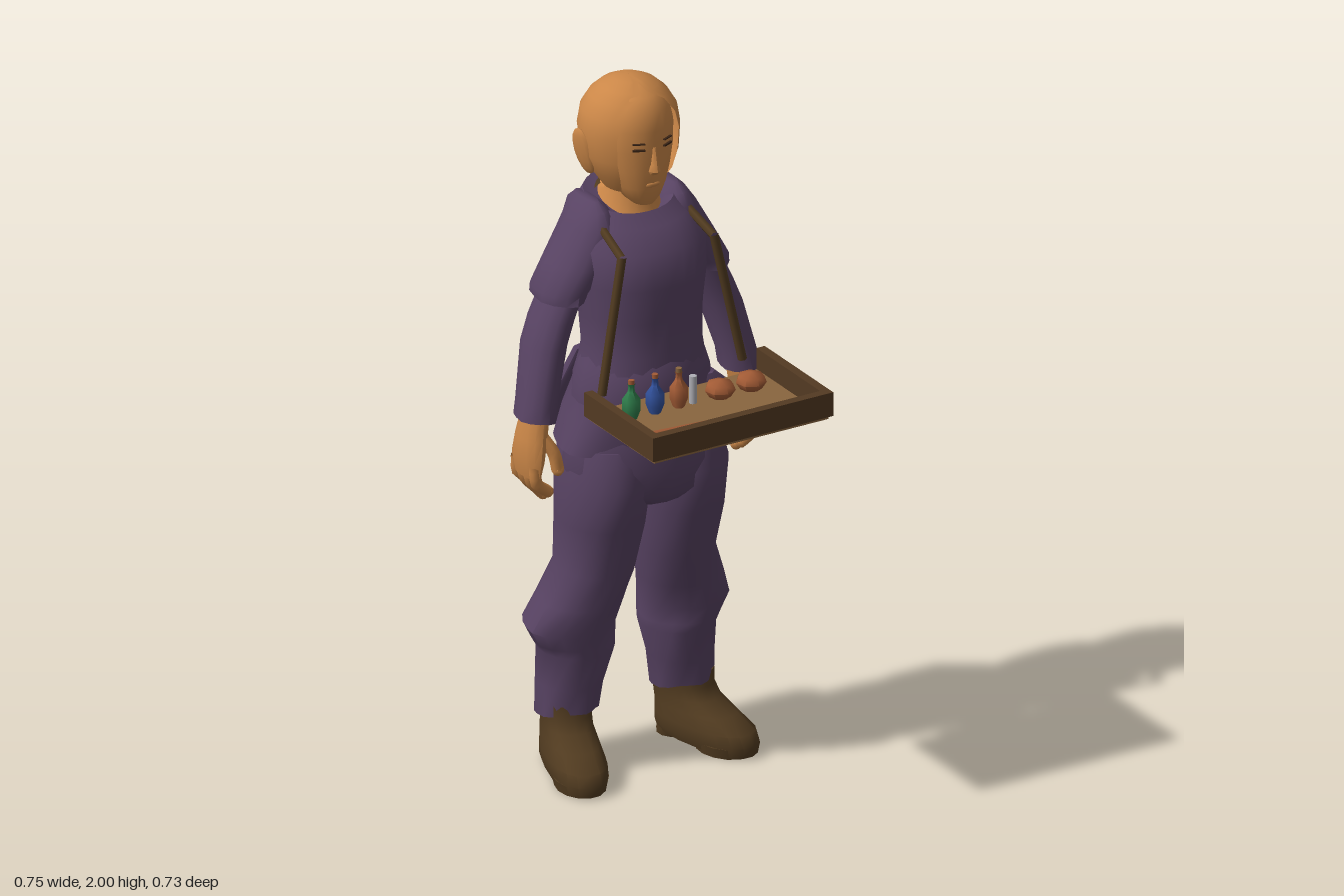
import * as THREE from 'three';
import { toCreasedNormals } from 'three/addons/utils/BufferGeometryUtils.js';

const mat = (name, color, side = THREE.FrontSide) => {
  const m = new THREE.MeshStandardMaterial({ color, side });
  m.name = name;
  return m;
};

// Skin through horizontal oval sections: [y, x, z, radiusX, radiusZ, frontTilt, ripple, frontGap]
function loft(sections, { n = 20, power = 1, capped = true } = {}) {
  const pos = [], index = [], w = n + 1;
  const bend = v => Math.sign(v) * Math.abs(v) ** power;
  for (const [y, x, z, rx, rz, tilt = 0, ripple = 0, gap = 0] of sections) {
    for (let i = 0; i <= n; i++) {
      const a = gap + (2 * Math.PI - 2 * gap) * i / n;
      const k = 1 + ripple * Math.cos(5 * a);
      pos.push(x + rx * k * bend(Math.sin(a)), y + tilt * Math.cos(a), z + rz * k * bend(Math.cos(a)));
    }
  }
  for (let r = 0; r < sections.length - 1; r++)
    for (let i = 0; i < n; i++) {
      const a = r * w + i;
      index.push(a, a + 1, a + w + 1, a, a + w + 1, a + w);
    }
  if (capped) [0, sections.length - 1].forEach((r, end) => {
    const [y, x, z] = sections[r], c = pos.length / 3;
    pos.push(x, y, z);
    for (let i = 0; i < n; i++) {
      const a = r * w + i;
      index.push(...(end ? [c, a, a + 1] : [c, a + 1, a]));
    }
  });
  const g = new THREE.BufferGeometry();
  g.setAttribute('position', new THREE.Float32BufferAttribute(pos, 3));
  g.setIndex(index);
  return toCreasedNormals(g, 0.8);
}

const tube = (points, r, sides = 7, steps = 8) => new THREE.TubeGeometry(
  new THREE.CatmullRomCurve3(points.map(p => new THREE.Vector3(...p))), steps, r, sides);

const lathe = (profile, sides) => toCreasedNormals(
  new THREE.LatheGeometry(profile.map(p => new THREE.Vector2(...p)), sides), 1.2);

export function createModel() {
  const model = new THREE.Group();
  const skin = mat('skin', 0xcb8748, THREE.DoubleSide);
  const cloth = mat('purple cloth', 0x584363);
  const leather = mat('dark leather', 0x513b20);
  const wood = mat('tray wood', 0x533a22), board = mat('tray board', 0x89653e);
  const green = mat('green glass', 0x2f7d4b), blue = mat('blue glass', 0x31509a);
  const clay = mat('terracotta', 0xa45c36), silver = mat('silver', 0xb0b0b6);
  const dark = mat('eye brown', 0x3a2415);
  const add = (name, geometry, material, x = 0, y = 0, z = 0, parent = model) => {
    const m = new THREE.Mesh(geometry, material);
    m.name = name;
    m.position.set(x, y, z);
    parent.add(m);
    return m;
  };

  // Tunic and hips
  add('tunic', loft([
    [0.96, 0, -0.178, 0.235, 0.175, 0.01, 0.04], [1.05, 0, -0.165, 0.212, 0.172, 0, 0.03],
    [1.15, 0, -0.15, 0.18, 0.16], [1.25, 0, -0.148, 0.165, 0.143], [1.35, 0, -0.155, 0.17, 0.147],
    [1.45, 0, -0.165, 0.185, 0.165], [1.55, 0, -0.183, 0.192, 0.168], [1.62, 0, -0.205, 0.16, 0.13, -0.02],
    [1.66, 0, -0.215, 0.125, 0.105, -0.025], [1.645, 0, -0.215, 0.08, 0.085, -0.03]],
    { n: 28, power: 0.9 }), cloth);
  add('trouser hips', loft([[0.81, 0, -0.15, 0.13, 0.13], [0.84, 0, -0.148, 0.215, 0.15],
    [0.92, 0, -0.15, 0.242, 0.165], [1.02, 0, -0.16, 0.22, 0.155]]), cloth);
  add('sash', loft([[1.1, 0, -0.15, 0.198, 0.168], [1.15, 0, -0.148, 0.194, 0.168],
    [1.2, 0, -0.148, 0.178, 0.158], [1.23, 0, -0.148, 0.168, 0.146]]), cloth);
  add('sash pouch', loft([[1, 0.165, -0.07, 0.075, 0.05, 0.02], [1.03, 0.165, -0.065, 0.08, 0.06],
    [1.1, 0.155, -0.065, 0.07, 0.055], [1.15, 0.13, -0.07, 0.04, 0.04]], { n: 12, power: 0.7 }), cloth);

  for (const s of [1, -1]) {
    const side = s > 0 ? 'left' : 'right';
    // Back tail of the tunic, split at the centre
    add(side + 'TunicTail', loft([[0.965, s * 0.115, -0.335, 0.098, 0.02], [1.08, s * 0.1, -0.305, 0.08, 0.02],
      [1.2, s * 0.075, -0.272, 0.06, 0.018]], { n: 16, power: 0.6 }), cloth);

    // Sleeves: wide short over-sleeve and long under-sleeve
    add(side + 'ShortSleeve', loft([[1.405, s * 0.226, -0.21, 0.066, 0.1, 0, 0.04],
      [1.43, s * 0.22, -0.21, 0.072, 0.1], [1.5, s * 0.17, -0.21, 0.083, 0.104],
      [1.6, s * 0.125, -0.21, 0.07, 0.1], [1.645, s * 0.125, -0.22, 0.04, 0.085],
      [1.667, s * 0.125, -0.225, 0.016, 0.055]], { n: 14 }), cloth);
    add(side + 'LongSleeve', loft([[1.085, s * 0.322, -0.17, 0.054, 0.07, 0, 0.04],
      [1.13, s * 0.315, -0.175, 0.052, 0.07], [1.28, s * 0.277, -0.2, 0.056, 0.08],
      [1.35, s * 0.25, -0.205, 0.056, 0.08], [1.46, s * 0.2, -0.205, 0.055, 0.075]], { n: 14 }), cloth);

    // Hand with four fingers and a thumb
    const hand = new THREE.Group();
    hand.name = side + 'Hand';
    model.add(hand);
    add('palm', loft([[0.92, s * 0.347, -0.17, 0.02, 0.06], [0.97, s * 0.346, -0.168, 0.031, 0.068],
      [1.03, s * 0.336, -0.168, 0.037, 0.06], [1.1, s * 0.322, -0.17, 0.037, 0.046]], { n: 12 }), skin, 0, 0, 0, hand);
    for (let f = 0; f < 4; f++) {
      const z = -0.124 - f * 0.031, tip = [0.87, 0.855, 0.86, 0.885][f];
      add('finger', tube([[s * 0.352, 0.96, z], [s * 0.345, 0.905, z - 0.002],
        [s * 0.305, tip, z * 0.8 - 0.035]], 0.017, 7, 6), skin, 0, 0, 0, hand);
      add('fingertip', new THREE.SphereGeometry(0.017, 7, 5), skin, s * 0.305, tip, z * 0.8 - 0.035, hand);
    }
    add('thumb', tube([[s * 0.325, 1.04, -0.135], [s * 0.298, 0.99, -0.115], [s * 0.288, 0.94, -0.11]],
      0.018), skin, 0, 0, 0, hand);
    add('thumbtip', new THREE.SphereGeometry(0.018, 7, 5), skin, s * 0.288, 0.94, -0.11, hand);

    // Baggy trouser leg gathered below the knee
    add(side + 'TrouserLeg', loft([[0.155, s * 0.182, -0.237, 0.08, 0.095, 0.025, 0.07],
      [0.25, s * 0.175, -0.235, 0.09, 0.1], [0.35, s * 0.16, -0.228, 0.105, 0.112],
      [0.375, s * 0.168, -0.233, 0.113, 0.12, 0, 0.03], [0.42, s * 0.18, -0.233, 0.125, 0.125, 0, 0.04],
      [0.5, s * 0.157, -0.21, 0.117, 0.125, 0, 0.02], [0.6, s * 0.127, -0.187, 0.106, 0.126],
      [0.75, s * 0.125, -0.16, 0.117, 0.145], [0.88, s * 0.122, -0.15, 0.122, 0.158],
      [0.98, s * 0.11, -0.165, 0.115, 0.14]], { n: 18 }), cloth);

    // Boot turned slightly outward, with a heel block
    const boot = new THREE.Group();
    boot.name = side + 'Boot';
    boot.position.set(s * 0.187, 0, -0.235);
    boot.rotation.y = s * 0.28;
    model.add(boot);
    add('bootUpper', loft([[0.012, 0, 0.085, 0.07, 0.165, -0.008], [0.035, 0, 0.085, 0.078, 0.17],
      [0.065, 0, 0.078, 0.078, 0.163], [0.1, 0, 0.045, 0.071, 0.13], [0.13, 0, 0.012, 0.066, 0.1],
      [0.16, 0, -0.002, 0.068, 0.088], [0.2, 0, -0.004, 0.072, 0.085]], { n: 18, power: 0.8 }), leather, 0, 0, 0, boot);
    add('heel', loft([[0, 0, -0.03, 0.055, 0.052], [0.03, 0, -0.025, 0.06, 0.055]], { n: 12 }), leather, 0, 0, 0, boot);
    add('frontSole', loft([[0, 0, 0.15, 0.07, 0.09], [0.03, 0, 0.15, 0.076, 0.095]], { n: 14 }), leather, 0, 0, 0, boot);

    // Shoulder strap down to the tray
    [[[s * 0.13, 1.615, -0.19], [s * 0.135, 1.607, -0.135]], [[s * 0.135, 1.607, -0.135], [s * 0.145, 1.565, -0.012]],
      [[s * 0.145, 1.57, -0.014], [s * 0.222, 1.19, 0.008]]].forEach(p =>
      add(side + 'Strap', tube(p, 0.0125, 6, 1), leather));

    // Ear, eye and brow
    const ear = add(side + 'Ear', new THREE.SphereGeometry(1, 10, 8), skin, s * 0.13, 1.797, -0.232);
    ear.scale.set(0.015, 0.07, 0.036);
    ear.rotation.set(-0.15, s * -0.2, s * -0.22);
    [['Eye', 1.832, 0.005], ['Brow', 1.85, 0.003]].forEach(([part, y, h]) => {
      add(side + part, new THREE.BoxGeometry(0.034, h, 0.008), dark, s * 0.045, y, -0.089).rotation.y = s * 0.42;
    });
  }

  // Neck, collar band and face
  add('neck', loft([[1.6, 0, -0.205, 0.1, 0.09, -0.015], [1.645, 0, -0.213, 0.084, 0.09, -0.028],
    [1.67, 0, -0.215, 0.066, 0.072, -0.01], [1.76, 0, -0.215, 0.064, 0.068]]), skin);
  add('neckStrap', loft([[1.64, 0, -0.225, 0.1, 0.1, -0.02, 0, 2],
    [1.67, 0, -0.225, 0.072, 0.068, -0.02, 0, 2]], { capped: false }), leather);
  add('face', loft([[1.655, 0, -0.142, 0.03, 0.034], [1.675, 0, -0.15, 0.052, 0.053],
    [1.71, 0, -0.165, 0.073, 0.077], [1.76, 0, -0.175, 0.09, 0.092], [1.82, 0, -0.18, 0.102, 0.1],
    [1.88, 0, -0.18, 0.104, 0.099], [1.93, 0, -0.185, 0.095, 0.093], [1.965, 0, -0.2, 0.072, 0.08],
    [1.985, 0, -0.21, 0.04, 0.045]]), skin);
  add('nose', loft([[1.755, 0, -0.085, 0.012, 0.01], [1.766, 0, -0.083, 0.017, 0.019],
    [1.785, 0, -0.085, 0.011, 0.017], [1.835, 0, -0.088, 0.008, 0.01]], { n: 8 }), skin);
  add('lips', new THREE.SphereGeometry(1, 10, 6), skin, 0, 1.722, -0.093).scale.set(0.025, 0.009, 0.009);

  // Smooth scalp shell, open around the face
  add('scalp', loft([[1.69, 0, -0.2, 0.078, 0.08, 0, 0, 0.9], [1.74, 0, -0.203, 0.112, 0.115, 0, 0, 0.82],
    [1.79, 0, -0.211, 0.132, 0.134, 0, 0, 0.8], [1.86, 0, -0.215, 0.139, 0.14, 0, 0, 0.78],
    [1.91, 0, -0.215, 0.131, 0.132, 0, 0, 0.7], [1.95, 0, -0.215, 0.107, 0.108, 0, 0, 0.55],
    [1.975, 0, -0.215, 0.079, 0.08, 0, 0, 0.15], [1.993, 0, -0.215, 0.042, 0.043], [2, 0, -0.215, 0.002, 0.002]],
    { n: 28, capped: false }), skin);

  // Tray with three raised walls, open toward the body
  const tray = new THREE.Group();
  tray.name = 'tray';
  model.add(tray);
  add('trayFloor', new THREE.BoxGeometry(0.55, 0.018, 0.34), board, 0, 1.147, 0.192, tray);
  for (const s of [1, -1])
    add('traySide', new THREE.BoxGeometry(0.026, 0.07, 0.35), wood, s * 0.272, 1.183, 0.195, tray);
  add('trayFront', new THREE.BoxGeometry(0.57, 0.07, 0.026), wood, 0, 1.183, 0.358, tray);

  // Stoppered bottles, vial and clay pots
  const bottle = lathe([[0, 0], [0.016, 0], [0.025, 0.025], [0.025, 0.058], [0.01, 0.08], [0.008, 0.096], [0.012, 0.104]], 6);
  [[-0.195, green, clay], [-0.12, blue, clay], [-0.045, clay, board]].forEach(([x, glass, cork]) => {
    add('bottle', bottle, glass, x, 1.156, 0.115, tray);
    add('cork', new THREE.CylinderGeometry(0.009, 0.008, 0.016, 6), cork, x, 1.262, 0.115, tray);
  });
  add('vial', new THREE.CylinderGeometry(0.011, 0.011, 0.08, 8), silver, 0, 1.196, 0.115, tray);
  const pot = lathe([[0, 0], [0.03, 0], [0.043, 0.02], [0.036, 0.038], [0, 0.048]], 7);
  for (const x of [0.085, 0.183]) add('clayPot', pot, clay, x, 1.156, 0.115, tray);

  // Sticks and spoon
  [clay, skin, blue].forEach((m, i) => {
    const stick = add('stick', new THREE.CylinderGeometry(0.009, 0.009, 0.22, 6), m, -0.11, 1.165, 0.259 + i * 0.027, tray);
    stick.rotation.set(0, -0.1, Math.PI / 2);
  });
  add('spoonHandle', tube([[0.052, 1.165, 0.28], [0.21, 1.165, 0.301]], 0.006, 6, 1), silver, 0, 0, 0, tray);
  add('spoonBowl', new THREE.SphereGeometry(1, 8, 6), silver, 0.217, 1.167, 0.302, tray).scale.set(0.022, 0.01, 0.016);

  return model;
}
